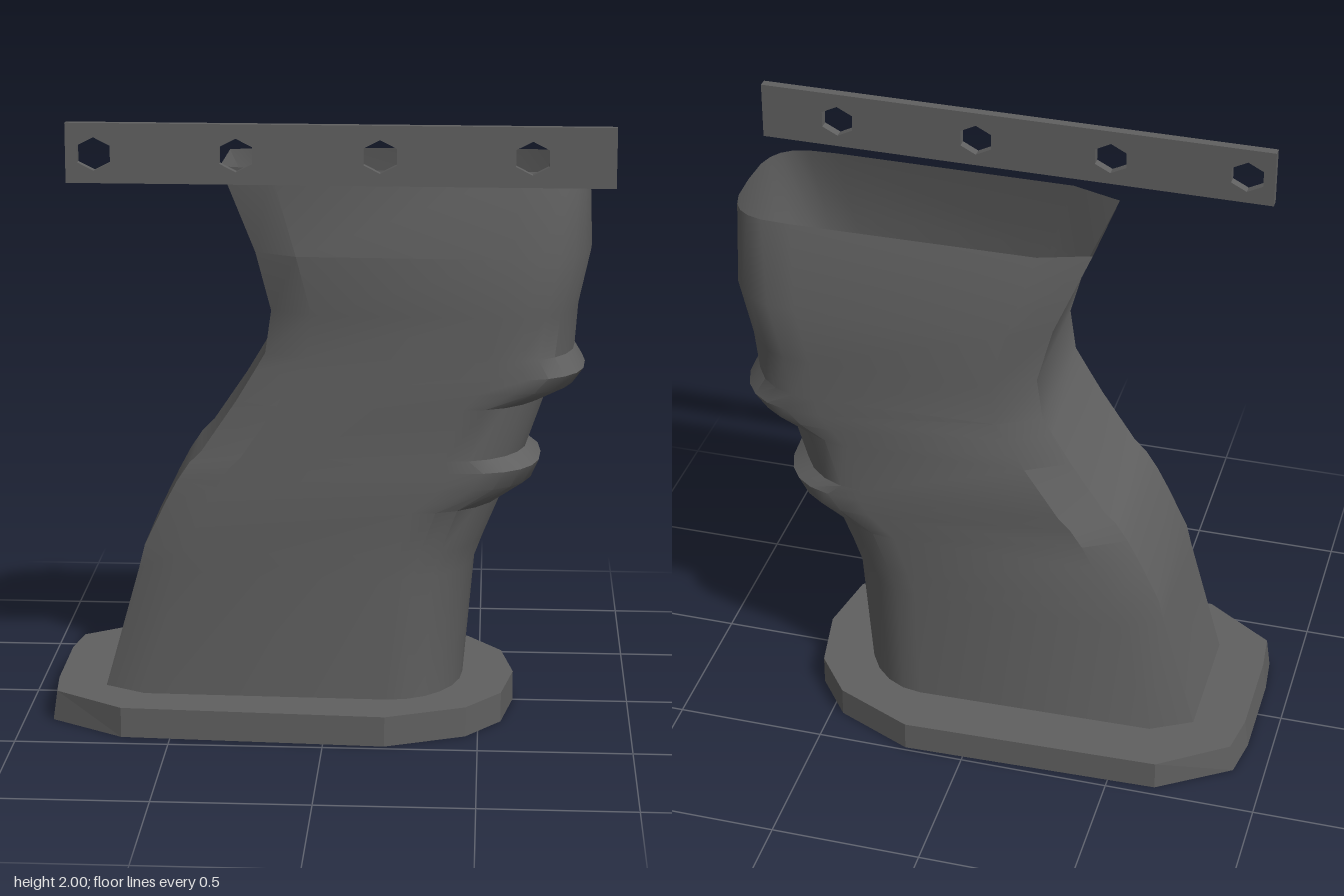
import * as THREE from 'three';
import { toCreasedNormals } from 'three/addons/utils/BufferGeometryUtils.js';

const ARC = 6; // segments per quarter of the rounded front

// Grip sections: y, back x, front x, start of rounded front, half width, squareness of the rounding
const SECTIONS = [
  [0.10, -0.735, 0.445, 0.20, 0.31, 1],
  [0.51, -0.62, 0.48, 0.21, 0.31, 1],
  [0.59, -0.60, 0.51, 0.23, 0.31, 1],
  [0.735, -0.53, 0.57, 0.28, 0.312, 1],
  [0.81, -0.49, 0.67, 0.36, 0.312, 0.8],
  [0.87, -0.45, 0.695, 0.40, 0.312, 0.75],
  [0.91, -0.41, 0.65, 0.38, 0.312, 0.9],
  [1.08, -0.295, 0.71, 0.44, 0.312, 1],
  [1.13, -0.265, 0.80, 0.48, 0.312, 0.78],
  [1.18, -0.235, 0.835, 0.53, 0.312, 0.75],
  [1.24, -0.20, 0.80, 0.53, 0.312, 0.85],
  [1.38, -0.18, 0.81, 0.55, 0.312, 0.8],
  [1.57, -0.23, 0.85, 0.59, 0.312, 0.75],
  [1.84, -0.345, 0.84, 0.62, 0.24, 0.6],
];

// Half outline from the flat back strip round to the front, then mirrored in z
function sectionRing([y, back, front, start, w, e]) {
  const top = y > 1.6;
  const half = [
    [back, top ? 0.18 : 0.218],
    [back + (top ? 0.165 : 0.135), top ? w - 0.005 : w - 0.018],
  ];
  for (let i = 0; i <= ARC; i++) {
    const a = (i / ARC) * Math.PI / 2;
    const c = Math.max(0, Math.cos(a));
    half.push([
      start + (front - start) * Math.sin(a) ** e,
      i === ARC ? 0 : w * c ** e,
    ]);
  }
  const mirrored = half.slice(0, -1).reverse().map(([x, z]) => [x, -z]);
  return [...half, ...mirrored].map(([x, z]) => [x, y, z]);
}

// Open tube through the sections
function loft(rings) {
  const n = rings[0].length;
  const index = [];
  for (let i = 0; i < rings.length - 1; i++) {
    for (let j = 0; j < n; j++) {
      const a = i * n + j, b = i * n + (j + 1) % n;
      index.push(a, b, b + n, a, b + n, a + n);
    }
  }
  const g = new THREE.BufferGeometry();
  g.setAttribute('position', new THREE.Float32BufferAttribute(rings.flat(2), 3));
  g.setIndex(index);
  return toCreasedNormals(g, 0.55);
}

export function createModel() {
  const group = new THREE.Group();
  const polymer = new THREE.MeshStandardMaterial({ color: 0x606060, side: THREE.DoubleSide });
  polymer.name = 'dark grey polymer';
  const add = (name, geometry) => {
    const mesh = new THREE.Mesh(geometry, polymer);
    mesh.name = name;
    group.add(mesh);
    return mesh;
  };

  // Hollow grip with two finger ridges on its rounded edge
  add('grip', loft(SECTIONS.map(sectionRing)));

  // Flared base plate, its outline drawn as (x, -z)
  const outline = [
    [-0.905, -0.285], [-0.66, -0.44], [0.20, -0.48], [0.46, -0.37], [0.575, -0.22], [0.615, 0],
    [0.575, 0.22], [0.46, 0.37], [0.20, 0.488], [-0.66, 0.465], [-0.895, 0.31], [-0.918, 0.17], [-0.918, -0.15],
  ].map(([x, y]) => new THREE.Vector2(x, y));
  const base = new THREE.ExtrudeGeometry(new THREE.Shape(outline), { depth: 0.1, bevelEnabled: false });
  base.rotateX(-Math.PI / 2);
  // Lean the rear edge slightly inward toward the top
  const p = base.attributes.position;
  for (let i = 0; i < p.count; i++) {
    if (p.getX(i) < -0.8 && p.getY(i) > 0.05) p.setX(i, p.getX(i) + 0.014);
  }
  base.computeVertexNormals();
  add('basePlate', base);

  // Mounting strip with hexagonal holes
  const strip = new THREE.Shape([
    [-0.8625, -0.095], [0.8625, -0.095], [0.8625, 0.095], [-0.8625, 0.095],
  ].map(([x, y]) => new THREE.Vector2(x, y)));
  for (const x of [-0.773, -0.325, 0.127, 0.602]) {
    const points = [];
    for (let k = 0; k < 6; k++) {
      const a = Math.PI / 2 - k * Math.PI / 3;
      points.push(new THREE.Vector2(x + 0.06 * Math.cos(a), -0.003 + 0.053 * Math.sin(a)));
    }
    strip.holes.push(new THREE.Path(points));
  }
  const stripGeometry = new THREE.ExtrudeGeometry(strip, { depth: 0.03, bevelEnabled: false });
  stripGeometry.translate(0, 0, -0.015);
  const rail = add('mountingStrip', stripGeometry);
  rail.position.set(0.0475, 1.905, 0.349);
  rail.rotation.y = -0.011;

  return group;
}
